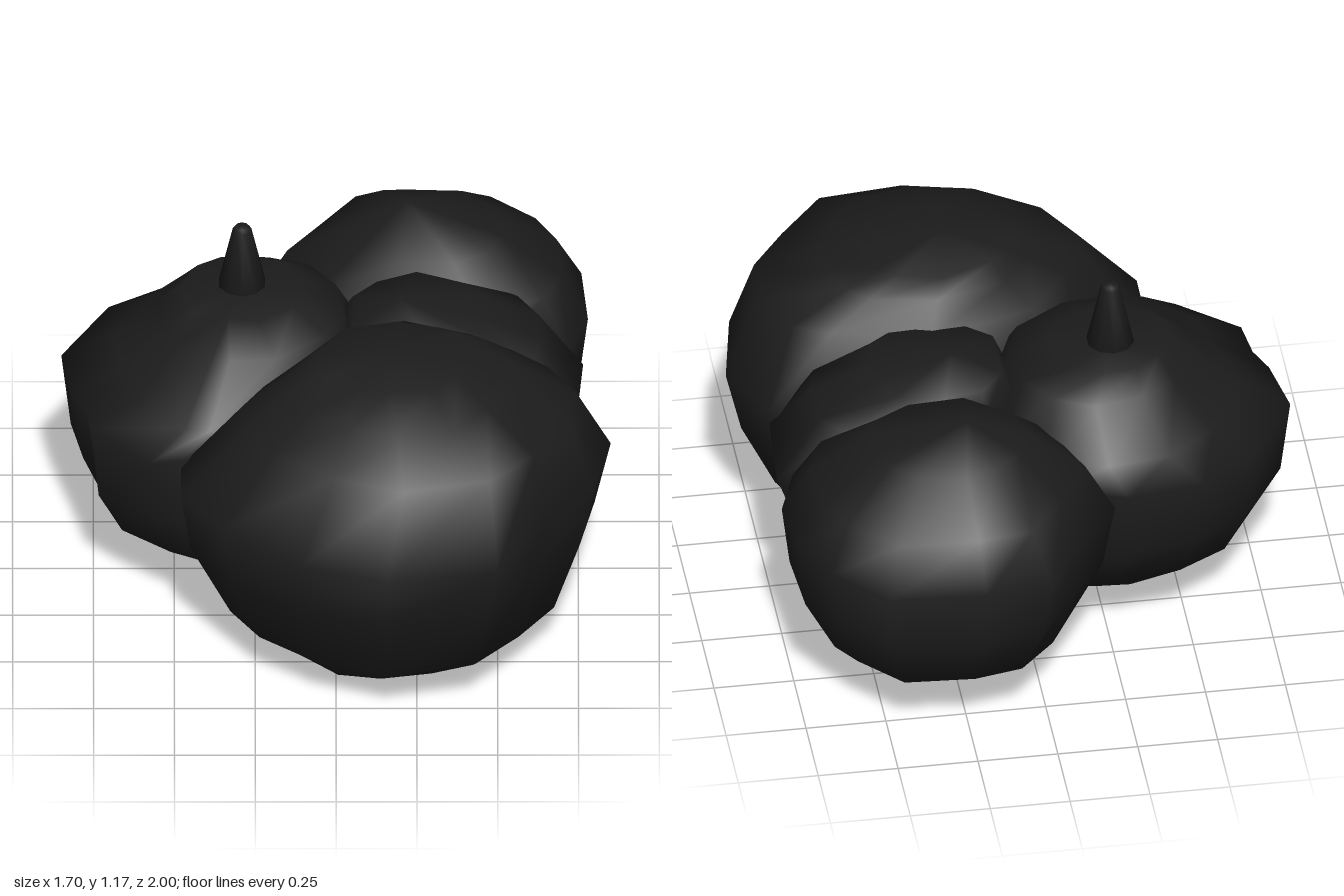
import * as THREE from 'three';

// Lumpy closed body: a plan outline fitted to the extents of each ring,
// [y, xMin, xMax, zMin, zMax], and closed by a bottom and a top point.
// Rings far from the middle blend from the outline towards a plain ellipse.
function boulder(name, material, plan, rings, bottom, top) {
  const xs = plan.map((p) => p[0]), zs = plan.map((p) => p[1]);
  const x0 = Math.min(...xs), z0 = Math.min(...zs);
  const w = Math.max(...xs) - x0, d = Math.max(...zs) - z0;
  const n = plan.length, positions = [...bottom], indices = [];
  const midY = (bottom[1] + top[1]) / 2, half = (top[1] - bottom[1]) / 2;

  rings.forEach(([y, xMin, xMax, zMin, zMax], k) => {
    const blend = Math.max(0, Math.abs(y - midY) / half - 0.25);
    plan.forEach(([x, z], i) => {
      const u = (2 * (x - x0)) / w - 1, v = (2 * (z - z0)) / d - 1;
      const s = 1 + blend * (1 / Math.hypot(u, v) - 1);
      positions.push(
        (xMin + xMax) / 2 + (u * s * (xMax - xMin)) / 2,
        y + 0.007 * Math.sin(i * 2.4 + k * 1.9),
        (zMin + zMax) / 2 + (v * s * (zMax - zMin)) / 2,
      );
    });
  });
  positions.push(...top);

  const last = 1 + rings.length * n;
  for (let i = 0; i < n; i++) {
    const j = (i + 1) % n;
    indices.push(0, 1 + i, 1 + j);
    for (let k = 0; k < rings.length - 1; k++) {
      const a = 1 + k * n + i, b = 1 + k * n + j;
      indices.push(a, a + n, b, b, a + n, b + n);
    }
    indices.push(last, last - n + j, last - n + i);
  }
  const geometry = new THREE.BufferGeometry();
  geometry.setAttribute('position', new THREE.Float32BufferAttribute(positions, 3));
  geometry.setIndex(indices);
  geometry.computeVertexNormals();
  const mesh = new THREE.Mesh(geometry, material);
  mesh.name = name;
  return mesh;
}

export function createModel() {
  const group = new THREE.Group();
  group.name = 'boulderCluster';
  const charcoal = new THREE.MeshStandardMaterial({ color: 0x1c1c1c });
  charcoal.name = 'charcoal';

  // Large front boulder
  group.add(boulder('frontBoulder', charcoal,
    [[-0.37, 0.22], [-0.22, 0], [0.2, -0.16], [0.6, -0.08], [0.75, 0.02], [0.85, 0.24], [0.8, 0.5],
      [0.64, 0.7], [0.5, 0.94], [0.16, 1], [-0.11, 0.9], [-0.35, 0.72], [-0.48, 0.53], [-0.48, 0.36]],
    [[0.025, -0.16, 0.46, 0.12, 0.63], [0.185, -0.33, 0.7, -0.02, 0.83], [0.43, -0.45, 0.8, -0.1, 0.92],
      [0.65, -0.48, 0.85, -0.16, 1], [0.88, -0.29, 0.75, 0.02, 0.83], [0.98, -0.14, 0.55, 0.07, 0.68],
      [1.03, -0.06, 0.42, 0.13, 0.52]],
    [0.1, 0, 0.4], [0.16, 1.06, 0.33]));

  // Back boulder
  group.add(boulder('backBoulder', charcoal,
    [[-0.24, -0.6], [-0.11, -0.77], [0.01, -0.97], [0.22, -1], [0.52, -0.98], [0.68, -0.81], [0.76, -0.68],
      [0.78, -0.45], [0.72, -0.28], [0.48, -0.15], [0.12, -0.17], [-0.13, -0.33]],
    [[0.15, 0.02, 0.52, -0.72, -0.34], [0.24, -0.1, 0.66, -0.9, -0.26], [0.43, -0.2, 0.76, -0.98, -0.19],
      [0.63, -0.24, 0.78, -1, -0.15], [0.78, -0.15, 0.7, -0.92, -0.22], [0.91, 0.02, 0.52, -0.75, -0.34]],
    [0.27, 0.14, -0.53], [0.22, 0.99, -0.57]));

  // Right boulder, which carries the spike
  group.add(boulder('rightBoulder', charcoal,
    [[-0.85, -0.2], [-0.7, -0.44], [-0.52, -0.57], [-0.28, -0.62], [-0.05, -0.55], [0.08, -0.35], [0.1, -0.1],
      [0.02, 0.15], [-0.25, 0.34], [-0.48, 0.38], [-0.58, 0.38], [-0.76, 0.21], [-0.77, 0.08], [-0.81, 0]],
    [[0.08, -0.49, -0.05, -0.27, 0.1], [0.25, -0.74, 0.05, -0.48, 0.28], [0.42, -0.82, 0.09, -0.58, 0.35],
      [0.67, -0.85, 0.1, -0.62, 0.38], [0.75, -0.69, 0.08, -0.56, 0.32], [0.89, -0.55, 0.02, -0.42, 0.15],
      [0.95, -0.48, -0.1, -0.33, 0.02]],
    [-0.26, 0.04, -0.14], [-0.28, 0.945, -0.17]));

  // Small left boulder filling the gap
  group.add(boulder('leftBoulder', charcoal,
    [[0.76, -0.25], [0.75, -0.1], [0.74, 0.03], [0.5, 0.14], [0.2, 0.14], [0, 0], [0, -0.25],
      [0.15, -0.36], [0.38, -0.4], [0.68, -0.36]],
    [[0.12, 0.12, 0.5, -0.3, 0.05], [0.3, 0.04, 0.67, -0.38, 0.1], [0.6, 0, 0.765, -0.4, 0.14],
      [0.8, 0, 0.64, -0.38, 0.14], [0.89, 0.04, 0.46, -0.32, 0.1]],
    [0.3, 0.09, -0.13], [0.2, 0.93, -0.13]));

  // Tapered spike with a softly rounded tip
  const profile = [[0, 0], [0.075, 0], [0.03, 0.2], [0.022, 0.212], [0, 0.215]]
    .map(([r, y]) => new THREE.Vector2(r, y));
  const spike = new THREE.Mesh(new THREE.LatheGeometry(profile, 10), charcoal);
  spike.name = 'spike';
  spike.position.set(-0.29, 0.96, -0.175);
  group.add(spike);

  return group;
}
